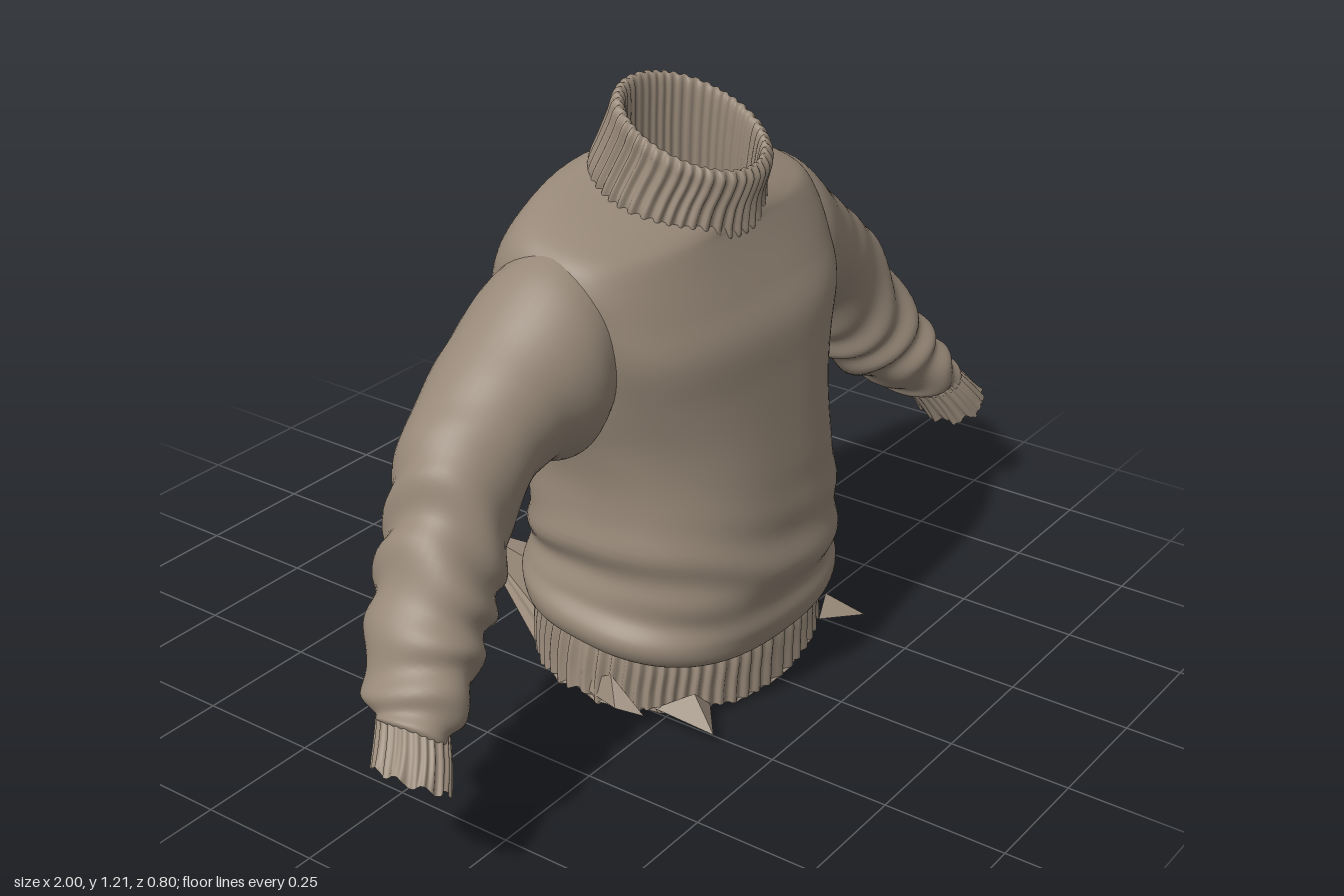
import * as THREE from 'three';

const TAU = Math.PI * 2;

// Smooth interpolation through the rows of a table, t in 0..1
function sample(rows, t) {
  const n = rows.length - 1;
  const i = Math.min(Math.floor(t * n), n - 1);
  const f = t * n - i;
  const row = (k) => rows[Math.max(0, Math.min(n, k))];
  const [a, b, c, d] = [row(i - 1), row(i), row(i + 1), row(i + 2)];
  return b.map((p, k) => p + 0.5 * f * (c[k] - a[k] +
    f * (2 * a[k] - 5 * p + 4 * c[k] - d[k] + f * (3 * (p - c[k]) + d[k] - a[k]))));
}

// Closed rings of points joined into a skin
function loft(around, along, point) {
  const pos = [], index = [];
  for (let j = 0; j <= along; j++) {
    for (let i = 0; i < around; i++) {
      pos.push(...point((i / around) * TAU, j / along));
      if (j === along) continue;
      const a = j * around + i, b = j * around + (i + 1) % around;
      index.push(a, a + around, b, b, a + around, b + around);
    }
  }
  const g = new THREE.BufferGeometry();
  g.setAttribute('position', new THREE.Float32BufferAttribute(pos, 3));
  g.setIndex(index);
  g.computeVertexNormals();
  return g;
}

// Point on a tilted oval ring: row = [y, half width, front z, back z, tilt]
function oval(row, a, scale = 1, power = 1, backPower = power) {
  const [y, w, zf, zb, tilt] = row;
  const soft = (v, p) => Math.sign(v) * Math.abs(v) ** p;
  const c = Math.cos(a);
  const dz = soft(c, c < 0 ? backPower : power) * (zf - zb) / 2 * scale;
  return [soft(Math.sin(a), power) * w * scale, y - tilt * dz, (zf + zb) / 2 + dz];
}

// Knitted rib with uneven spacing, 0..1
const rib = (a, count) => {
  const s = Math.sin(a * count + 0.8 * Math.sin(a * 7));
  return Math.sqrt(Math.abs(s)) * Math.sign(s) * 0.5 + 0.5;
};
const bump = (v, centre, width) => Math.exp(-(((v - centre) / width) ** 2));

const BODY = [
  [0.15, 0.31, 0.35, -0.14, 0.13], [0.17, 0.335, 0.375, -0.155, 0.13],
  [0.21, 0.345, 0.385, -0.162, 0.12], [0.25, 0.318, 0.382, -0.16, 0.1],
  [0.3, 0.306, 0.4, -0.168, 0.05], [0.37, 0.318, 0.388, -0.158, 0],
  [0.48, 0.308, 0.375, -0.157, 0], [0.58, 0.322, 0.36, -0.165, 0],
  [0.68, 0.35, 0.345, -0.166, 0], [0.78, 0.372, 0.33, -0.165, 0.02],
  [0.86, 0.385, 0.295, -0.157, 0.05], [0.93, 0.388, 0.265, -0.135, 0.1],
  [0.98, 0.36, 0.245, -0.11, 0.15], [1.01, 0.285, 0.24, -0.09, 0.25],
  [1.03, 0.18, 0.235, -0.05, 0.33],
];
const COLLAR = [
  [0.98, 0.175, 0.23, -0.045, 0.33], [1.0, 0.192, 0.248, -0.063, 0.34],
  [1.03, 0.194, 0.25, -0.062, 0.37], [1.07, 0.178, 0.255, -0.046, 0.41],
  [1.11, 0.164, 0.268, -0.03, 0.45], [1.135, 0.158, 0.274, -0.022, 0.46],
  [1.147, 0.146, 0.264, -0.01, 0.46], [1.13, 0.133, 0.252, 0, 0.46],
  [1.06, 0.13, 0.24, 0, 0.4], [0.98, 0.132, 0.228, 0, 0.34],
];
const HEM = [
  [0.18, 0.31, 0.34, -0.13, 0.13], [0.14, 0.325, 0.352, -0.142, 0.13],
  [0.09, 0.335, 0.35, -0.14, 0.12], [0.052, 0.342, 0.35, -0.13, 0.1],
];
// Sleeve rings: upper x, y, lower x, y, centre z, depth radius
const SLEEVE = [
  [0.31, 0.99, 0.31, 0.62, 0.055, 0.14], [0.41, 0.957, 0.37, 0.575, 0.055, 0.158],
  [0.52, 0.868, 0.45, 0.59, 0.045, 0.142], [0.62, 0.79, 0.52, 0.56, 0.045, 0.13],
  [0.71, 0.71, 0.57, 0.48, 0.055, 0.122], [0.765, 0.605, 0.62, 0.41, 0.075, 0.12],
  [0.83, 0.515, 0.685, 0.36, 0.097, 0.116], [0.885, 0.425, 0.75, 0.32, 0.122, 0.112],
  [0.935, 0.35, 0.81, 0.278, 0.148, 0.1], [0.945, 0.318, 0.855, 0.262, 0.172, 0.07],
];
const CUFF = [
  [0.935, 0.335, 0.84, 0.28, 0.165, 0.072], [0.965, 0.298, 0.867, 0.235, 0.187, 0.077],
  [0.998, 0.26, 0.89, 0.192, 0.205, 0.079],
];

function bodyPoint(a, t) {
  const row = sample(BODY, t);
  const y = row[0];
  // Diagonal drape, waist folds and a shallow hollow down the spine
  const folds = 0.016 * bump(y, 0.3, 0.11) * Math.sin(y * 62 + 2.2 * Math.sin(a * 2 + 0.6) + a);
  const drape = 0.009 * bump(y, 0.55, 0.22) * Math.sin(a * 7 + y * 9);
  // The chest is squarer toward the armholes
  const square = 0.16 * bump(y, 0.84, 0.15);
  const p = oval(row, a, 1 + folds + drape, 0.83 - square, 0.72 - square);
  p[2] += 0.018 * bump(p[0], 0, 0.07) * bump(y, 0.62, 0.3) * (Math.cos(a) < 0 ? 1 : 0);
  return p;
}

function hemPoint(a, t) {
  const p = oval(sample(HEM, t), a, 0.97 + 0.035 * rib(a, 64), 0.87, 0.8);
  const front = Math.max(0, Math.cos(a)) ** 6;
  p[1] += t ** 3 * (0.006 * Math.sin(a * 23) * (1 - front) - 0.024 * front);
  return p;
}

function armPoint(rows, side, a, t, scale) {
  const [ux, uy, lx, ly, zc, rz] = sample(rows, t);
  const c = Math.cos(a) * scale / 2;
  return [side * ((ux + lx) / 2 + (ux - lx) * c), (uy + ly) / 2 + (uy - ly) * c,
    zc + Math.sin(a) * rz * scale];
}

function sleevePoint(side, a, t) {
  // Bunched creases grow toward the wrist
  const amount = 0.012 + 0.06 * THREE.MathUtils.smoothstep(t, 0.38, 0.6);
  const crease = Math.sin(t * 52 + 1.9 * Math.sin(a + 0.7) + 1.3 * Math.sin(a * 2 + t * 14));
  const quiet = THREE.MathUtils.smoothstep(t, 0.1, 0.35);
  return armPoint(SLEEVE, side, a, t, 1 + amount * quiet * crease);
}

function cuffPoint(side, a, t) {
  const p = armPoint(CUFF, side, a, t, 0.96 + 0.06 * rib(a, 24));
  p[1] += t ** 4 * 0.007 * Math.sin(a * 9);
  return p;
}

// Pointed sheet of cloth: a tip fanned out to a row of edge points
function flap(tip, edge) {
  const pos = [];
  for (let i = 1; i < edge.length; i++) pos.push(...tip, ...edge[i - 1], ...edge[i]);
  const g = new THREE.BufferGeometry();
  g.setAttribute('position', new THREE.Float32BufferAttribute(pos, 3));
  g.computeVertexNormals();
  return g;
}

// Points along the lower hem edge between two angles (0 is the front)
const hemEdge = (from, to, n = 14) =>
  Array.from({ length: n + 1 }, (_, i) => hemPoint(from + (to - from) * i / n, 1));

export function createModel() {
  const group = new THREE.Group();
  const wool = new THREE.MeshStandardMaterial({ color: 0x978878, side: THREE.DoubleSide });
  wool.name = 'taupe wool';
  const add = (name, geometry) => {
    const mesh = new THREE.Mesh(geometry, wool);
    mesh.name = name;
    group.add(mesh);
  };

  add('body', loft(96, 84, bodyPoint));
  add('collar', loft(320, 36, (a, t) => {
    const depth = 0.05 * (1 - 0.5 * THREE.MathUtils.smoothstep(t, 0.6, 0.8));
    return oval(sample(COLLAR, t), a, 1.012 - depth + depth * rib(a, 44));
  }));
  add('hem', loft(400, 10, hemPoint));

  for (const [name, side] of [['left', 1], ['right', -1]]) {
    add(name + 'Sleeve', loft(48, 90, (a, t) => sleevePoint(side, a, t)));
    add(name + 'Cuff', loft(180, 8, (a, t) => cuffPoint(side, a, t)));
    // Small flared corners of the hem
    add(name + 'HemCorner', flap([side * 0.28, 0.03, 0.383],
      [[side * 0.2, 0.035, 0.32], [side * 0.24, 0.075, 0.31], [side * 0.29, 0.045, 0.25]]));
    add(name + 'HemSide', flap([side * 0.352, 0.058, 0.2],
      [[side * 0.325, 0.045, 0.25], [side * 0.325, 0.11, 0.17], [side * 0.325, 0.06, 0.08]]));
  }

  // Two torn sheets close the underside and trail out behind in points
  const longTip = [-0.07, 0.143, -0.395];
  const shortTip = [0.12, 0.192, -0.32];
  add('longSheet', flap(longTip, hemEdge(-1.75, 0.15)));
  add('shortSheet', flap(shortTip, hemEdge(-0.35, 1.75)));
  add('longTear', flap(longTip,
    [[-0.2, 0.085, -0.12], [-0.17, 0.18, -0.12], [-0.08, 0.17, -0.13], [-0.01, 0.09, -0.12]]));
  add('shortTear', flap(shortTip,
    [[0.06, 0.11, -0.12], [0.07, 0.197, -0.13], [0.21, 0.195, -0.12], [0.225, 0.11, -0.1]]));

  return group;
}
